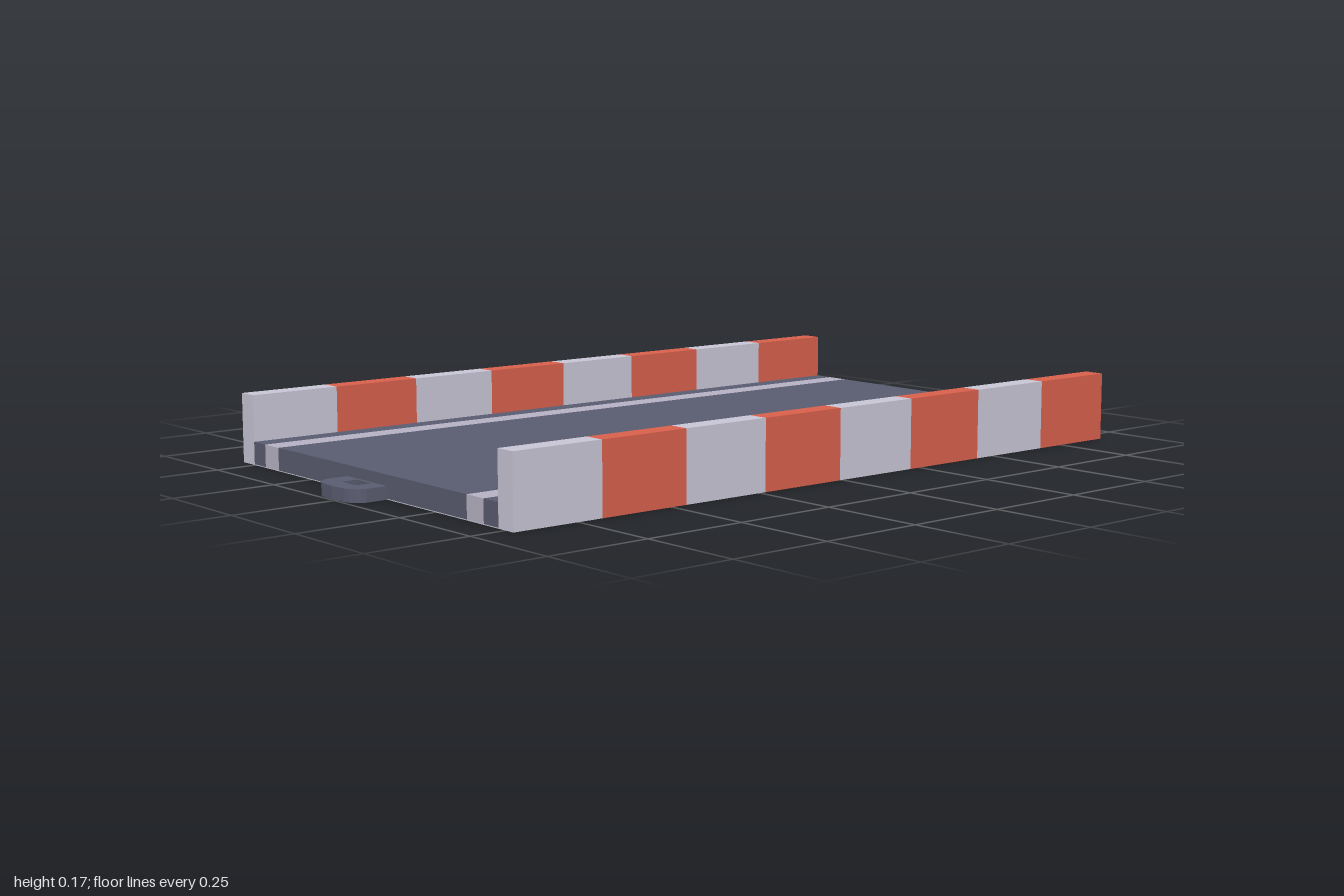
import * as THREE from 'three';

const mat = (name, color, side = THREE.FrontSide) => {
  const m = new THREE.MeshStandardMaterial({ color, side });
  m.name = name;
  return m;
};

export function createModel() {
  const red = mat('barrier red', 0xd9604c);
  const white = mat('barrier white', 0xc9c7d6);
  const asphalt = mat('asphalt grey', 0x5a5c70);
  const line = mat('lane line grey', 0xb8b3c5);

  const model = new THREE.Group();
  model.name = 'roadSection';
  const halfL = 0.907, wallIn = 0.489, wallOut = 0.54;
  const wallH = 0.165, deckH = 0.055, skin = 0.002;

  // Box given by its minimum and maximum corners
  const box = (name, material, x0, x1, y0, y1, z0, z1) => {
    const mesh = new THREE.Mesh(new THREE.BoxGeometry(x1 - x0, y1 - y0, z1 - z0), material);
    mesh.position.set((x0 + x1) / 2, (y0 + y1) / 2, (z0 + z1) / 2);
    mesh.name = name;
    model.add(mesh);
  };

  // Road deck in lengthwise strips, with two lane lines running through it
  const edges = [-wallIn, -0.438, -0.378, 0.378, 0.438, wallIn];
  for (let i = 0; i < 5; i++) {
    const isLine = i % 2 === 1;
    box(isLine ? 'laneLine' : 'roadDeck', isLine ? line : asphalt,
      -halfL, halfL, skin, deckH, edges[i], edges[i + 1]);
  }

  // Alternating bands on both barriers and across the underside
  const step = (2 * halfL) / 8;
  for (let i = 0; i < 8; i++) {
    const x0 = -halfL + i * step, x1 = x0 + step;
    const m = i % 2 ? red : white;
    box('frontBarrierBand', m, x0, x1, 0, wallH, wallIn, wallOut);
    box('backBarrierBand', m, x0, x1, 0, wallH, -wallOut, -wallIn);
    box('undersideBand', m, x0, x1, 0, skin, -wallIn, wallIn);
  }

  // Coupling loops: rounded tabs with a square hole
  const tab = new THREE.Shape();
  tab.moveTo(0, -0.08);
  tab.lineTo(0.052, -0.08);
  tab.quadraticCurveTo(0.078, -0.074, 0.086, -0.045);
  tab.lineTo(0.09, 0);
  tab.lineTo(0.086, 0.045);
  tab.quadraticCurveTo(0.078, 0.074, 0.052, 0.08);
  tab.lineTo(0, 0.08);
  tab.closePath();
  const hole = new THREE.Path();
  hole.moveTo(0.008, -0.029);
  hole.lineTo(0.008, 0.029);
  hole.lineTo(0.047, 0.029);
  hole.lineTo(0.047, -0.029);
  hole.closePath();
  tab.holes.push(hole);
  const tabGeo = new THREE.ExtrudeGeometry(tab, { depth: 0.03, bevelEnabled: false, curveSegments: 4 });
  tabGeo.rotateX(-Math.PI / 2);
  for (const side of [1, -1]) {
    const loop = new THREE.Mesh(tabGeo, asphalt);
    loop.name = side > 0 ? 'leftCouplingLoop' : 'rightCouplingLoop';
    loop.position.x = side * halfL;
    loop.rotation.y = side > 0 ? 0 : Math.PI;
    model.add(loop);
  }

  // The whole section sits slightly turned
  model.rotation.y = -0.0138;
  const group = new THREE.Group();
  group.name = 'barrieredRoad';
  group.add(model);
  return group;
}
